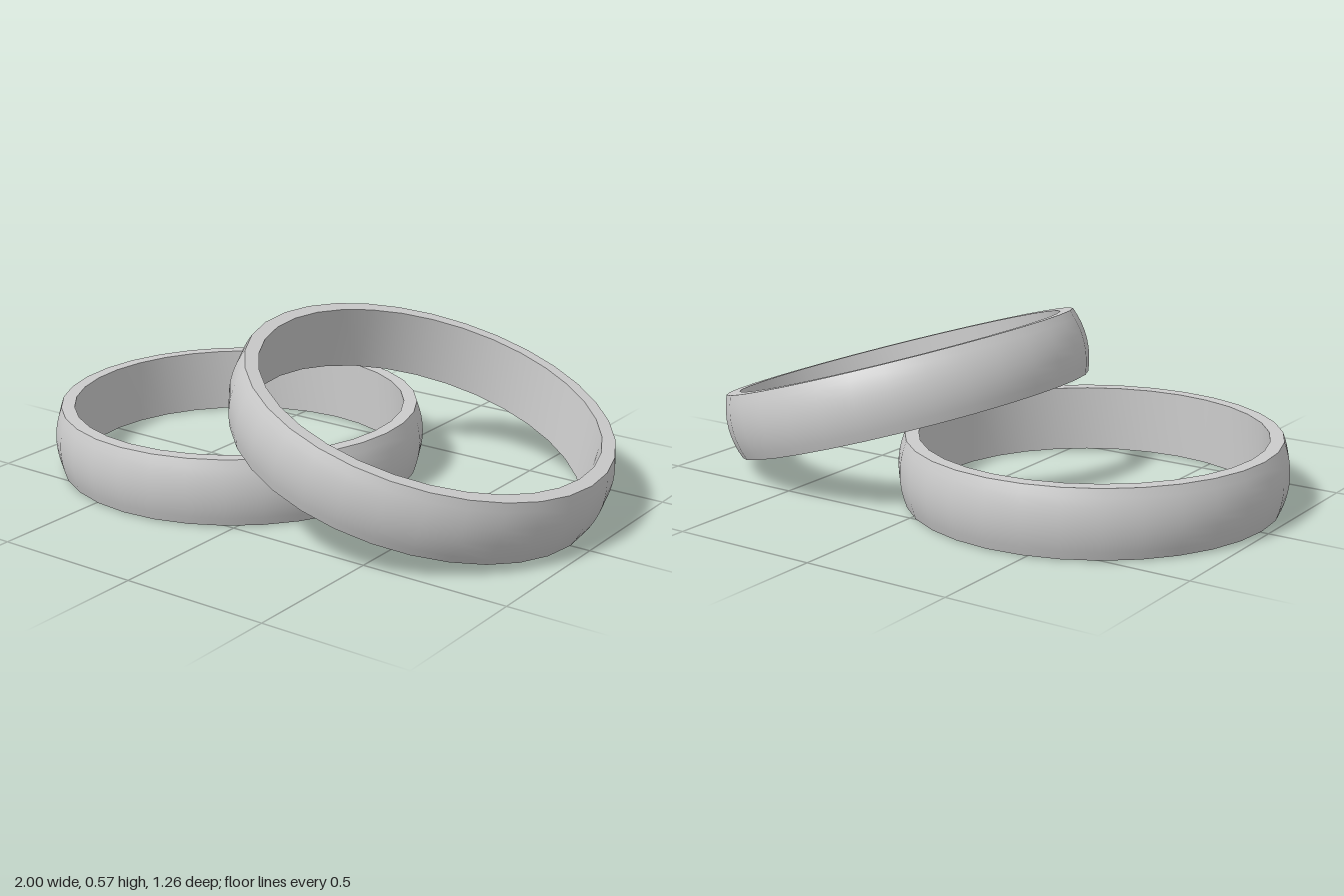
import * as THREE from 'three';
import { toCreasedNormals } from 'three/addons/utils/BufferGeometryUtils.js';

const INNER = 0.565, EDGE = 0.61, OUTER = 0.632, HALF = 0.111;

// Band profile: flat inner wall and rims, domed outer face
function bandGeometry() {
  const points = [new THREE.Vector2(INNER, -HALF)];
  const steps = 8;
  for (let i = 0; i <= steps; i++) {
    const t = (i / steps) * 2 - 1;
    points.push(new THREE.Vector2(OUTER - (OUTER - EDGE) * t * t, HALF * t));
  }
  points.push(new THREE.Vector2(INNER, HALF), new THREE.Vector2(INNER, -HALF));
  return toCreasedNormals(new THREE.LatheGeometry(points, 32), 0.7);
}

export function createModel() {
  const group = new THREE.Group();
  group.name = 'pairOfRings';
  const material = new THREE.MeshStandardMaterial({ color: 0xcccccc });
  const geometry = bandGeometry();

  // One ring lies flat, the other leans across its rim
  const placements = [
    { name: 'flatRing', x: -0.368, y: 0.12, tilt: 0 },
    { name: 'leaningRing', x: 0.381, y: 0.289, tilt: -0.295 },
  ];
  for (const { name, x, y, tilt } of placements) {
    const ring = new THREE.Mesh(geometry, material);
    ring.name = name;
    ring.position.set(x, y, 0);
    ring.rotation.z = tilt;
    group.add(ring);
  }
  return group;
}
